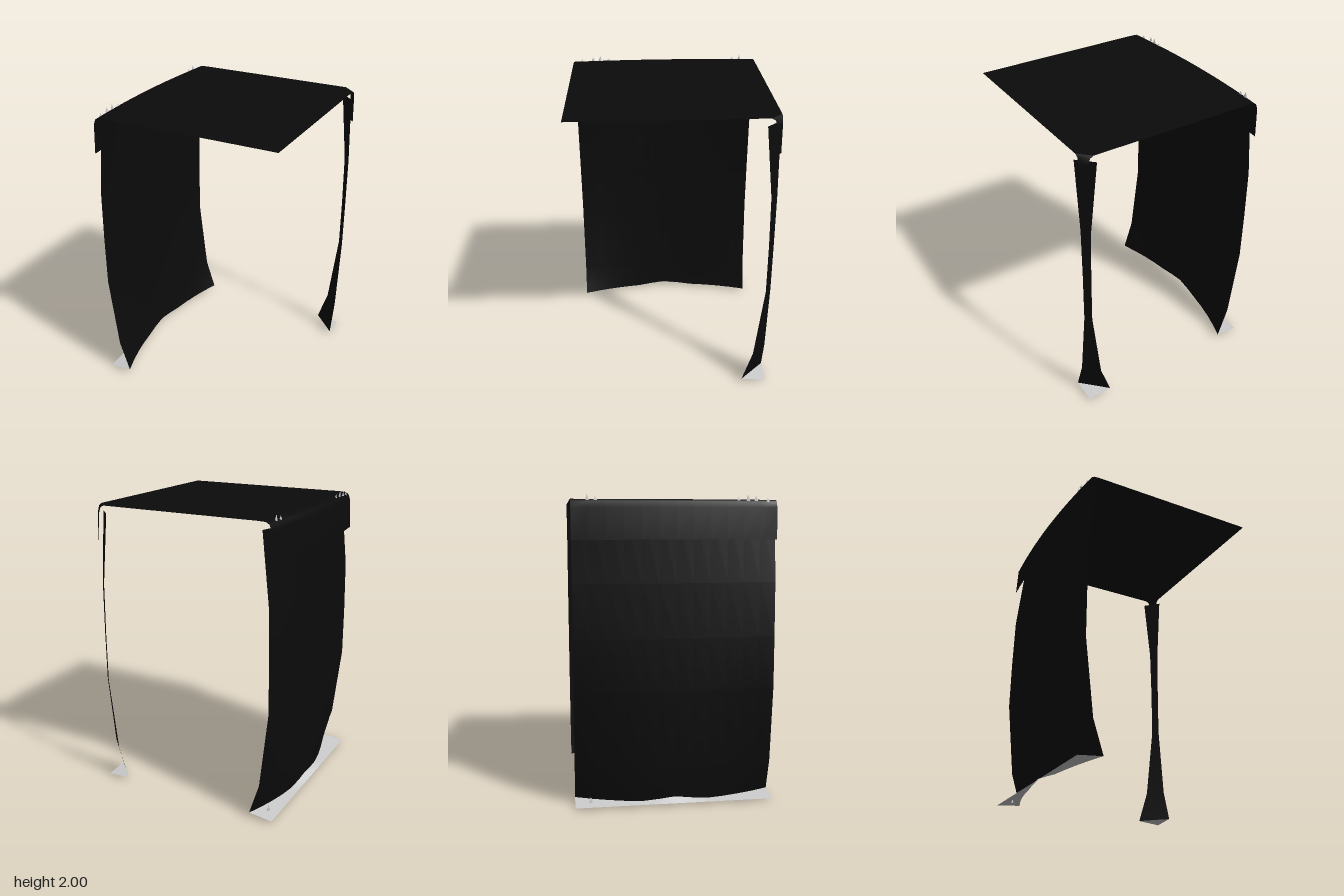
import * as THREE from 'three';

const HALF = 0.65; // half width of the square canopy

const black = new THREE.MeshStandardMaterial({ color: 0x0b0b0b, side: THREE.DoubleSide });
const grey = new THREE.MeshStandardMaterial({ color: 0xcccccc, side: THREE.DoubleSide });

// Surface through rows of [x, y, z] points
function loft(name, rows, material) {
  const n = rows[0].length;
  const index = [];
  for (let i = 0; i < rows.length - 1; i++) {
    for (let j = 0; j < n - 1; j++) {
      const a = i * n + j;
      index.push(a, a + n, a + 1, a + 1, a + n, a + n + 1);
    }
  }
  const geometry = new THREE.BufferGeometry();
  geometry.setAttribute('position', new THREE.Float32BufferAttribute(rows.flat(2), 3));
  geometry.setIndex(index);
  geometry.computeVertexNormals();
  const mesh = new THREE.Mesh(geometry, material);
  mesh.name = name;
  return mesh;
}

// Curtain profile: height, distance out at the ends, distance out at the middle
const PROFILE = [
  [0.03, 0.485, 0.61],
  [0.25, 0.555, 0.63],
  [0.76, 0.613, 0.65],
  [1.1, 0.612, 0.653],
  [1.45, 0.605, 0.652],
  [1.92, 0.555, 0.645],
];
const STEPS = 12;
const zAt = (j) => -HALF + (2 * HALF * j) / STEPS;
const bow = (z) => 1 - (z / HALF) ** 2;
const hemY = (z) => 0.02 + 0.028 * Math.max(0, 1 - Math.abs(z) / 0.22) + 0.012 * (1 - bow(z));

const zs = Array.from({ length: STEPS + 1 }, (_, j) => zAt(j));
const bowed = (end, mid, z) => -(end + (mid - end) * bow(z));

export function createModel() {
  const model = new THREE.Group();
  model.name = 'canopy';

  // Flat roof with the back left corner cut off
  const cut = 0.075;
  const roofShape = new THREE.Shape([
    [-0.52, HALF], [-0.52, -HALF], [HALF, -HALF], [HALF, HALF - cut], [HALF - cut, HALF],
  ].map(([x, y]) => new THREE.Vector2(x, y)));
  const roof = new THREE.Mesh(new THREE.ShapeGeometry(roofShape).rotateX(-Math.PI / 2), black);
  roof.name = 'roof';
  roof.position.y = 1.97;
  model.add(roof);

  // Rounded roof edge running down into a hanging valance
  const edge = [
    [1.97, 0.52, 0.52], [1.968, 0.575, 0.605], [1.955, 0.598, 0.632],
    [1.92, 0.612, 0.648], [1.72, 0.622, 0.655],
  ];
  model.add(loft('sideValance', edge.map(([y, e, m]) => zs.map((z) => [bowed(e, m, z), y, z])), black));

  // Bowed side curtain with a scalloped hem
  model.add(loft('sideCurtain', PROFILE.map(([y, e, m], i) =>
    zs.map((z) => [bowed(e, m, z), i ? y : hemY(z), z])), black));

  // Corner curtain and its valance: diagonal strips of varying width
  const strip = (a, y) => [[HALF - a, y, -HALF], [HALF - a * 0.5, y, -HALF + a * 0.5], [HALF, y, -HALF + a]];
  model.add(loft('cornerCurtain', PROFILE.map(([y, e]) => strip(HALF - e, y)), black));
  model.add(loft('cornerValance',
    [[cut, 1.97], [0.052, 1.958], [0.038, 1.92], [0.025, 1.74]].map(([a, y]) => strip(a, y)), black));

  // Floor left outside the curtains
  model.add(loft('sideFloor', [
    zs.map((z) => [-HALF, 0.015, z]),
    zs.map((z) => [bowed(0.485, 0.61, z), hemY(z), z]),
  ], grey));
  model.add(loft('cornerFloor', [strip(0.001, 0.015), strip(0.165, 0.03)], grey));

  // Small frayed tufts along the roof edge and hem
  const tufts = [
    [-0.6, 1.955, 0.59, 0.025], [-0.61, 1.96, 0.51, 0.032], [-0.605, 1.96, 0.46, 0.04],
    [-0.6, 1.96, 0.4, 0.025], [-0.6, 1.96, -0.5, 0.025], [-0.595, 1.96, -0.55, 0.04],
    [-0.58, 0.02, -0.55, 0.04], [-0.6, 0.0, -0.48, 0.025],
  ];
  const fray = new THREE.Group();
  fray.name = 'frayedTufts';
  for (const [x, y, z, h] of tufts) {
    const tuft = new THREE.Mesh(new THREE.ConeGeometry(0.016, h, 3).translate(0, h / 2, 0), grey);
    tuft.name = 'tuft';
    tuft.position.set(x, y, z);
    tuft.scale.x = 0.6;
    fray.add(tuft);
  }
  model.add(fray);

  return model;
}
